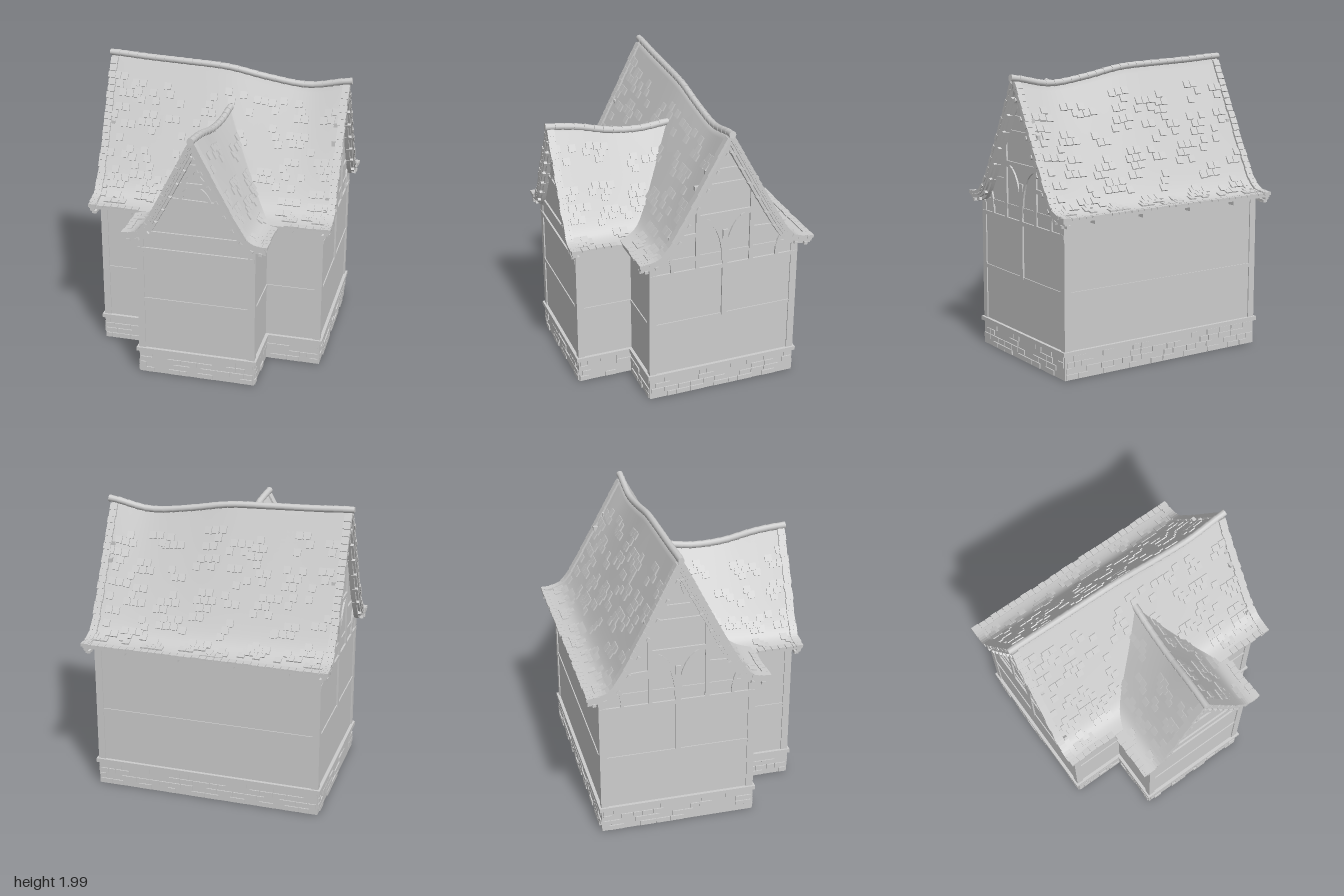
import * as THREE from 'three';
import { mergeGeometries } from 'three/addons/utils/BufferGeometryUtils.js';

const V = (x, y, z) => new THREE.Vector3(x, y, z);
const RIDGE_Z = -0.18, HALF = 0.605, WING_HALF = 0.478;

// evenly spaced heights turned into a smooth function
function track(ys, lo, hi) {
  const curve = new THREE.SplineCurve(ys.map((y, i) => new THREE.Vector2(i, y)));
  return x => curve.getPoint(THREE.MathUtils.clamp((x - lo) / (hi - lo), 0, 1)).y;
}
const mainRidge = track([1.96, 1.945, 1.935, 1.92, 1.87, 1.84, 1.89], -0.84, 0.84);
const wingRidge = track([1.68, 1.655, 1.67, 1.72, 1.745], -0.08, 0.78);

// bell-cast slope: straight from the ridge, flaring at the eaves
const flare = s => { const g = 1 - 1.34 * s; return 0.5 * (g + Math.sqrt(g * g + 0.02)); };
const mainY = (x, z) => 1.05 + (mainRidge(x) - 1.05) * flare(Math.abs(z - RIDGE_Z) / HALF);
const wingRaw = (z, u) => 1.045 + (wingRidge(z) - 1.045) * flare(Math.abs(u));
const wingX = z => -0.01 + 0.05 * (0.78 - z) / 0.86;

// roof surfaces: a runs along the ridge, b goes from -1 to 1 across it
const mainP = (a, b) => V(a, mainY(a, RIDGE_Z + b * HALF), RIDGE_Z + b * HALF);
function wingP(a, b) {
  const x = b * WING_HALF + wingX(a) * (1 - Math.abs(b));
  const y = wingRaw(a, b);
  return V(x, a < 0.425 ? Math.max(y, mainY(x, a) - 0.03) : y, a);
}

// bent board following a roof surface, between depths t0 and t1 below it
function sheet(P, a0, a1, t0, t1, na, nb, swap) {
  const g = swap ? new THREE.BoxGeometry(1, 1, 1, nb, 1, na) : new THREE.BoxGeometry(1, 1, 1, na, 1, nb);
  const pos = g.attributes.position;
  for (let i = 0; i < pos.count; i++) {
    const p = [pos.getX(i) + 0.5, pos.getZ(i) + 0.5];
    if (swap) p.reverse();
    const a = a0 + (a1 - a0) * p[0], b = p[1] * 2 - 1;
    const q = P(a, b), r = P(a, b + (b < 0 ? -0.01 : 0.01));
    const run = swap ? r.x - q.x : r.z - q.z;
    const t = pos.getY(i) > 0 ? t0 : t1;
    pos.setXYZ(i, q.x, q.y - t * Math.hypot(1, (r.y - q.y) / run), q.z);
  }
  g.computeVertexNormals();
  return g;
}

// small block lying on a roof surface
function slab(P, a, b, w, h, l, lift = 0, tilt = 0) {
  const e = 0.01, s = b < 0 ? -1 : 1, o = P(a, b);
  const down = P(a, b + s * e).sub(o).normalize();
  const n = P(a + e, b).sub(o).cross(down).normalize();
  if (n.y < 0) n.negate();
  const m = new THREE.Matrix4().makeBasis(V(0, 0, 0).crossVectors(n, down), n, down);
  m.setPosition(o.addScaledVector(n, lift));
  return new THREE.BoxGeometry(w, h, l).rotateX(-tilt).applyMatrix4(m);
}

// plan of the house, grown outward by d
function plan(d) {
  const X = 0.77 + d, W = 0.395 + d, B = -0.7 - d, M = 0.34 + d, F = 0.72 + d;
  return [[-X, B], [X, B], [X, M], [W, M], [W, F], [-W, F], [-W, M], [-X, M]];
}
function ring(out, inn, y0, y1) {
  const pts = d => plan(d).map(([x, z]) => new THREE.Vector2(x, -z));
  const shape = new THREE.Shape(pts(out));
  shape.holes.push(new THREE.Path(pts(inn)));
  return new THREE.ExtrudeGeometry(shape, { depth: y1 - y0, bevelEnabled: false }).rotateX(-Math.PI / 2).translate(0, y0, 0);
}

export function createModel() {
  const house = new THREE.Group();
  house.name = 'house';
  const grey = new THREE.MeshStandardMaterial({ color: 0xcccccc, side: THREE.DoubleSide });
  grey.name = 'plainGrey';
  let seed = 7;
  const rnd = () => (seed = (seed * 16807) % 2147483647) / 2147483647;
  const add = (geo, name, parent = house) => {
    const m = new THREE.Mesh(Array.isArray(geo) ? mergeGeometries(geo) : geo, grey);
    m.name = name;
    parent.add(m);
    return m;
  };

  // hollow walls, foundation and the rails running all round
  add(ring(0, -0.02, 0.02, 1.05), 'walls');
  add(ring(0.006, -0.04, 0, 0.165), 'foundation');
  add(ring(0.022, -0.03, 0.162, 0.19), 'foundationLedge');
  add(ring(0.007, -0.026, 0.548, 0.575), 'middleRail');
  add(ring(0.007, -0.026, 1.01, 1.045), 'wallPlate');

  // foundation stones
  const stones = [], corners = plan(0.004);
  corners.forEach(([x, z], i) => {
    const [x2, z2] = corners[(i + 1) % corners.length], len = Math.hypot(x2 - x, z2 - z);
    for (let row = 0; row < 4; row++) {
      for (let s = 0.005; s < len - 0.04;) {
        const w = Math.min(0.05 + rnd() * 0.07, len - s - 0.004), k = (s + w / 2) / len;
        if (rnd() < 0.6) stones.push(new THREE.BoxGeometry(w - 0.006, 0.034, 0.02)
          .rotateY(Math.atan2(z - z2, x2 - x)).translate(x + (x2 - x) * k, 0.021 + row * 0.04, z + (z2 - z) * k));
        s += w;
      }
    }
  });
  add(stones, 'foundationStones');

  // corner posts
  const posts = plan(-0.016).filter((p, i) => i !== 3 && i !== 6)
    .map(([x, z]) => new THREE.BoxGeometry(0.048, 0.86, 0.048).translate(x, 0.61, z));
  add(posts, 'cornerPosts');

  // roofs
  add(sheet(mainP, -0.835, 0.83, 0, 0.02, 48, 48), 'mainRoof');
  add(sheet(wingP, -0.08, 0.772, 0, 0.02, 60, 64, true), 'wingRoof');

  // shingles: patches, gable edges and eaves
  const hidden = (P, a, b) => {
    const p = P(a, b);
    if (P === wingP) return a < 0.44 && wingRaw(a, b) < mainY(p.x, a) + 0.01;
    return p.z > -0.1 && Math.abs(p.x) < 0.5 && wingRaw(p.z, p.x / WING_HALF) > p.y - 0.03;
  };
  function shingles(P, a0, a1, cols, rows, name) {
    const list = [];
    const tile = (a, b, w, l, h = 0.012) => { if (!hidden(P, a, b)) list.push(slab(P, a, b, w, h, l, 0.003, 0.07)); };
    for (const side of [-1, 1]) {
      for (let c = 0; c < cols; c++) for (let r = 0; r < rows; r++) {
        const ca = a0 + (a1 - a0) * (c + 0.3 + rnd() * 0.4) / cols;
        const cb = 0.1 + 0.8 * (r + 0.3 + rnd() * 0.4) / rows;
        for (let j = -1; j <= 1; j++) for (let i = -1; i <= 1; i++) {
          const a = ca + (i + (j % 2) * 0.5) * 0.052;
          if (rnd() < 0.55 && a > a0 + 0.04 && a < a1 - 0.04) tile(a, side * (cb + j * 0.042), 0.048, 0.05);
        }
      }
      for (let b = 0.04; b < 0.99; b += 0.036)
        for (const [end, s] of [[a0, 1], [a1, -1]])
          if (P === mainP || s < 0) tile(end + s * (0.017 + rnd() * 0.008), side * b, 0.05, 0.045, 0.022);
      for (let a = a0 + 0.03; a < a1 - 0.02; a += 0.05) tile(a, side * (0.965 + rnd() * 0.015), 0.046, 0.045, 0.014);
    }
    add(list, name);
  }
  shingles(mainP, -0.835, 0.83, 8, 5, 'mainShingles');
  shingles(wingP, -0.05, 0.772, 4, 4, 'wingShingles');

  // overlapping round ridge tiles
  function ridgeTiles(pointAt, n, r, name) {
    const list = [];
    for (let i = 0; i < n; i++) {
      const p = pointAt(i / n), q = pointAt((i + 1) / n), d = q.clone().sub(p);
      const m = new THREE.Matrix4().makeRotationFromQuaternion(
        new THREE.Quaternion().setFromUnitVectors(V(0, 1, 0), d.clone().normalize()));
      m.setPosition(p.add(q).multiplyScalar(0.5));
      list.push(new THREE.CylinderGeometry(r, r * 0.86, d.length() * 1.1, 10).applyMatrix4(m));
    }
    add(list, name);
  }
  ridgeTiles(t => V(-0.845 + t * 1.69, mainRidge(-0.845 + t * 1.69) + 0.008, RIDGE_Z), 26, 0.024, 'mainRidgeTiles');
  ridgeTiles(t => {
    const z = -0.07 + t * 0.85;
    return V(wingX(z), wingRidge(z) + 0.006, z);
  }, 13, 0.025, 'wingRidgeTiles');

  // bargeboards with rafter studs at each gable end
  function barge(P, a, dir, swap, name) {
    add(sheet(P, a, a - dir * 0.03, 0.018, 0.036, 1, 40, swap), name);
    add(sheet(P, a - dir * 0.015, a - dir * 0.045, 0.036, 0.055, 1, 40, swap), name + 'Inner');
    const studs = [];
    for (const s of [-1, 1]) for (let b = 0.1; b < 0.95; b += 0.105)
      studs.push(slab(P, a - dir * 0.02, s * b, 0.05, 0.02, 0.024, -0.048));
    add(studs, name + 'Studs');
  }
  barge(mainP, 0.822, 1, false, 'leftBargeboard');
  barge(mainP, -0.828, -1, false, 'rightBargeboard');
  barge(wingP, 0.765, 1, true, 'wingBargeboard');

  // gable infill, drawn in a plane with its own timbers
  function gable(name, P, a, axis, sign, rotY, pos, beams, braces) {
    const g = new THREE.Group();
    g.name = name;
    const pts = [];
    for (let i = 0; i <= 32; i++) {
      const p = P(a, (i / 16 - 1) * 0.86);
      pts.push(new THREE.Vector2(p[axis] * sign, Math.max(p.y - 0.035, 1.03)));
    }
    add(new THREE.ShapeGeometry(new THREE.Shape(pts)), 'gableWall', g);
    const list = [];
    const beam = (x1, y1, x2, y2, w) => list.push(new THREE.BoxGeometry(Math.hypot(x2 - x1, y2 - y1) + 0.002, w, 0.024)
      .rotateZ(Math.atan2(y2 - y1, x2 - x1)).translate((x1 + x2) / 2, (y1 + y2) / 2, 0));
    beams.forEach(([x1, y1, x2, y2, w = 0.028]) => beam(x1 * sign, y1, x2 * sign, y2, w));
    braces.forEach(c => {
      const v = [0, 2, 4].map(i => new THREE.Vector2(c[i] * sign, c[i + 1]));
      const k = new THREE.QuadraticBezierCurve(...v).getPoints(8);
      for (let i = 0; i < 8; i++) beam(k[i].x, k[i].y, k[i + 1].x, k[i + 1].y, 0.022);
    });
    add(list, 'gableTimbers', g);
    g.rotation.y = rotY;
    g.position.copy(pos);
    house.add(g);
  }

  // side gables, timbers given as z and height
  const sideBeams = [
    [0.34, 0.937, -0.7, 0.937], [-0.18, 0.56, -0.18, 0.94, 0.036], [0.015, 0.94, 0.015, 1.53],
    [-0.365, 0.94, -0.365, 1.53], [0.015, 1.32, -0.365, 1.32], [0.21, 1.19, 0.015, 1.2],
    [-0.365, 1.18, -0.56, 1.17], [0.04, 1.53, -0.4, 1.53], [-0.03, 1.63, -0.33, 1.63], [-0.18, 0.94, -0.18, 1.2, 0.036],
  ];
  const sideBraces = [
    [-0.17, 0.98, -0.16, 1.28, 0.01, 1.31], [-0.19, 0.98, -0.2, 1.28, -0.36, 1.31],
    [0.19, 0.94, 0.19, 1.1, 0.27, 1.15], [-0.55, 0.94, -0.55, 1.1, -0.62, 1.1],
    [-0.07, 1.63, -0.14, 1.68, -0.16, 1.8], [-0.29, 1.63, -0.22, 1.68, -0.2, 1.8],
  ];
  gable('leftGable', mainP, 0.77, 'z', -1, Math.PI / 2, V(0.77, 0, 0), sideBeams, sideBraces);
  gable('rightGable', mainP, -0.77, 'z', 1, -Math.PI / 2, V(-0.77, 0, 0), sideBeams, sideBraces);

  // wing gable, timbers given as x and height
  gable('wingGable', wingP, 0.72, 'x', 1, 0, V(0, 0, 0.72), [
    [-0.395, 0.937, 0.395, 0.937], [-0.36, 1.06, 0.36, 1.06], [-0.18, 1.315, 0.18, 1.305, 0.032],
    [-0.11, 1.43, 0.11, 1.43], [-0.06, 1.56, 0.06, 1.56],
  ], [[-0.1, 1.32, -0.07, 1.4, 0, 1.42], [0.1, 1.32, 0.07, 1.4, 0, 1.42],
    [-0.08, 1.44, -0.02, 1.48, 0, 1.56], [0.08, 1.44, 0.02, 1.48, 0, 1.56]]);

  // beam ends under the long eaves
  const ends = [];
  for (const x of [-0.56, 0.56]) ends.push(new THREE.BoxGeometry(0.04, 0.03, 0.08).translate(x, 1.025, 0.36));
  for (const x of [-0.56, -0.19, 0.19, 0.56]) ends.push(new THREE.BoxGeometry(0.04, 0.03, 0.08).translate(x, 1.025, -0.72));
  add(ends, 'beamEnds');

  return house;
}
